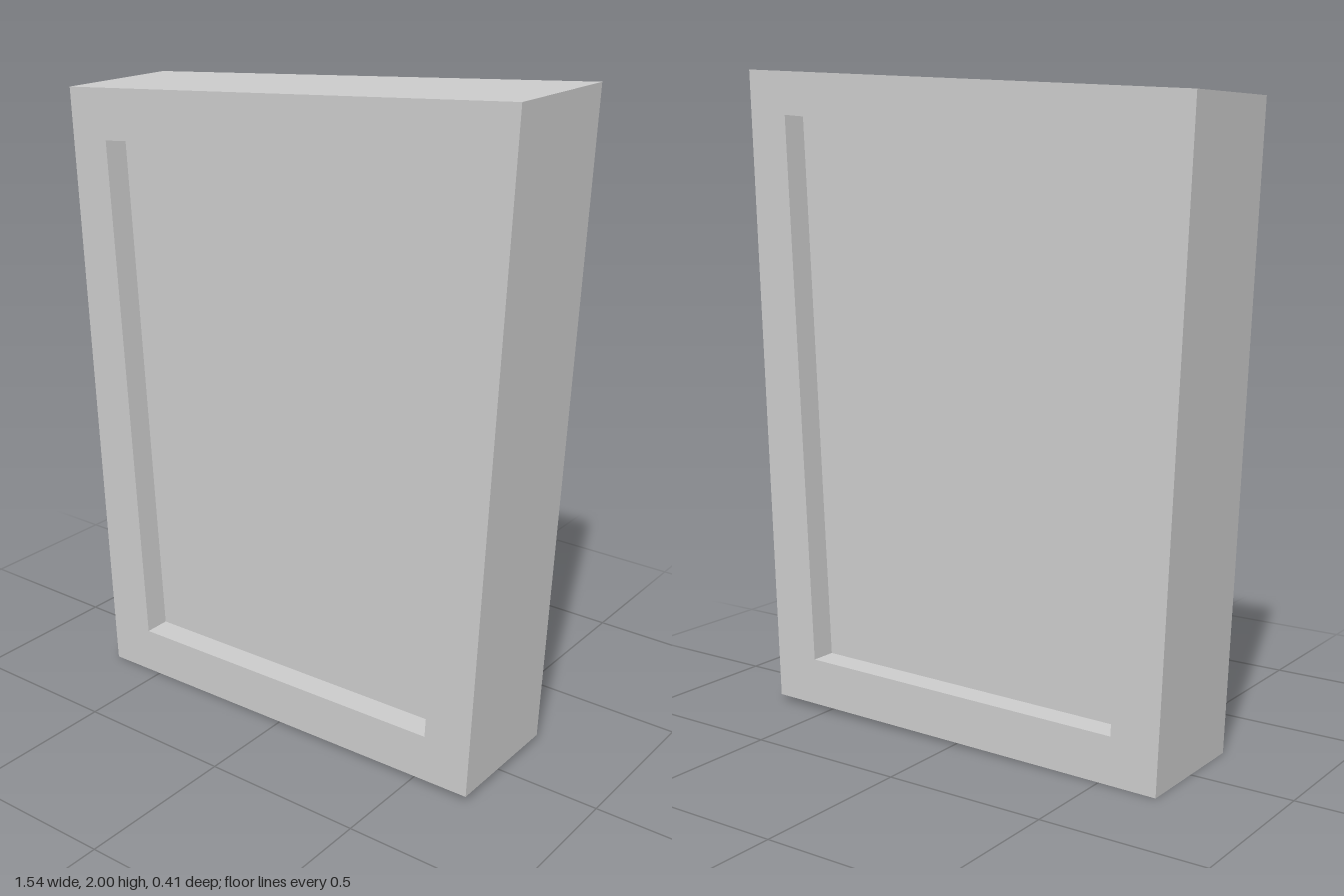
import * as THREE from 'three';

const HALF_DEPTH = 0.203;
const RECESS = 0.082;

// Corners run counter-clockwise from the lower left
const outer = [[-0.685, 0], [0.69, 0.02], [0.77, 2], [-0.77, 1.895]];
const inner = [[-0.54, 0.145], [0.545, 0.163], [0.627, 1.86], [-0.63, 1.75]];

const toPoints = (corners) => corners.map(([x, y]) => new THREE.Vector2(x, y));

// Extrudes a flat outline, centred on z = 0
function slab(name, shape, halfDepth, material) {
  const geometry = new THREE.ExtrudeGeometry(shape, { depth: halfDepth * 2, bevelEnabled: false });
  geometry.translate(0, 0, -halfDepth);
  const mesh = new THREE.Mesh(geometry, material);
  mesh.name = name;
  return mesh;
}

export function createModel() {
  const group = new THREE.Group();
  group.name = 'taperedPanel';
  const material = new THREE.MeshStandardMaterial({ color: 0xcccccc, flatShading: true });

  // Surrounding rim with a tapered opening
  const rim = new THREE.Shape(toPoints(outer));
  rim.holes.push(new THREE.Path(toPoints(inner)));
  group.add(slab('frame', rim, HALF_DEPTH, material));

  // Panel set back from both faces
  group.add(slab('recessedPanel', new THREE.Shape(toPoints(inner)), HALF_DEPTH - RECESS, material));

  return group;
}
